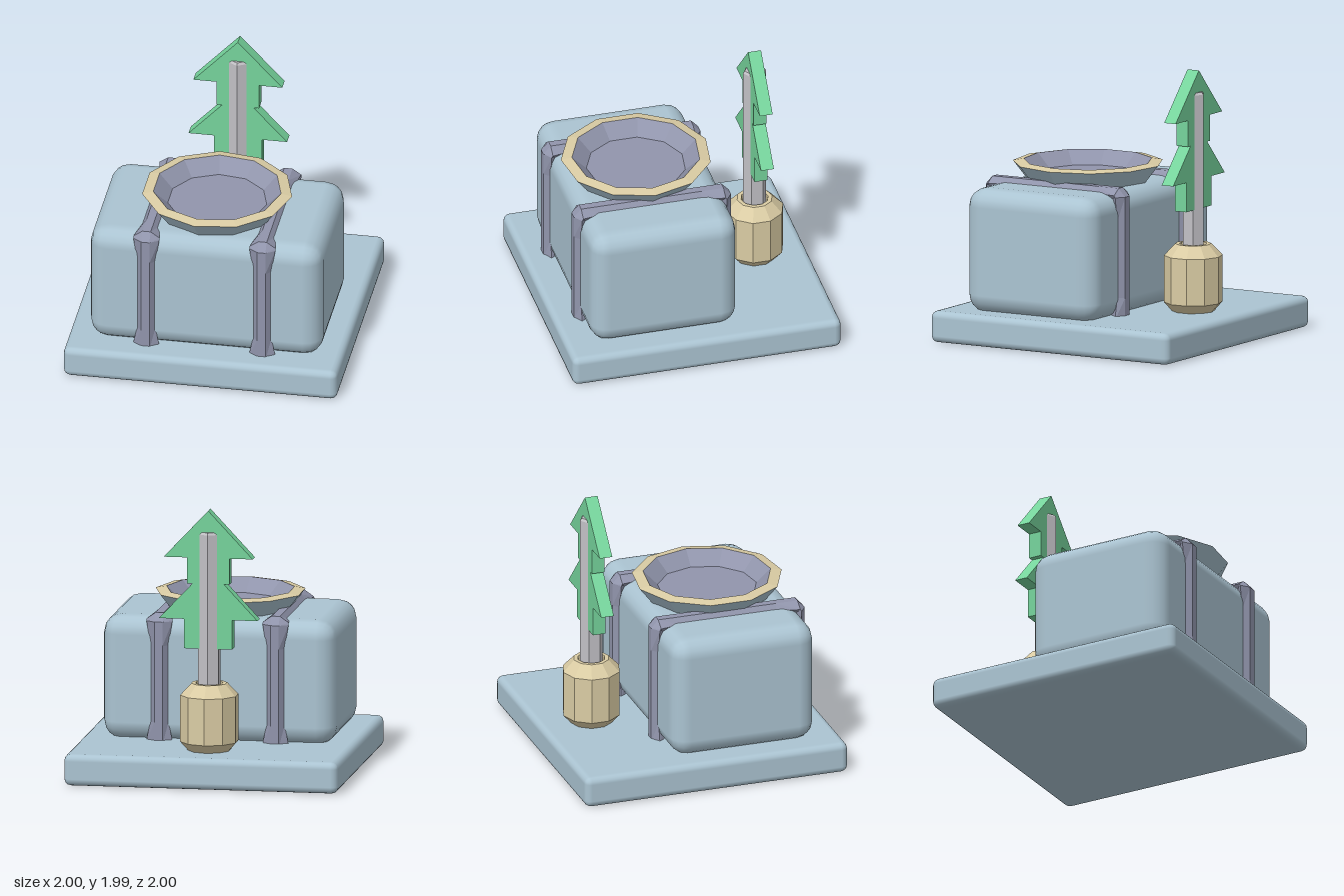
import * as THREE from 'three';
import { RoundedBoxGeometry } from 'three/addons/geometries/RoundedBoxGeometry.js';

const mat = (name, color) => {
  const m = new THREE.MeshStandardMaterial({ color });
  m.name = name;
  return m;
};

// faceted copy of a geometry
function faceted(geometry) {
  const g = geometry.index ? geometry.toNonIndexed() : geometry;
  g.computeVertexNormals();
  return g;
}

const lathe = (profile, sides) =>
  faceted(new THREE.LatheGeometry(profile.map(([r, y]) => new THREE.Vector2(r, y)), sides));

// strap running up the front, over the top and down the back, flared at corners
function strapGeometry() {
  // [z, y, normal z, normal y, half width]
  const half = [
    [0.585, 0.2, 1, 0, 0.1],
    [0.585, 0.36, 1, 0, 0.066],
    [0.585, 0.92, 1, 0, 0.066],
    [0.585, 1.095, 1, 0, 0.095],
    [0.53, 1.155, 0, 1, 0.095],
    [0.36, 1.155, 0, 1, 0.066],
  ];
  const back = half.map(([z, y, nz, ny, w]) => [-z, y, -nz, ny, w]).reverse();
  const stations = [...half, ...back];
  const pos = [], index = [];
  stations.forEach(([z, y, nz, ny, w], i) => {
    const section = [[-0.03, 0], [0.03, 0], [w, 0.045], [w * 0.6, 0.1], [-w * 0.6, 0.1], [-w, 0.045]];
    for (const [x, d] of section) pos.push(x, y - ny * d, z - nz * d);
    if (i === 0) return;
    for (let j = 0; j < 6; j++) {
      const k = (j + 1) % 6, a = (i - 1) * 6, b = i * 6;
      index.push(a + j, a + k, b + k, a + j, b + k, b + j);
    }
  });
  const g = new THREE.BufferGeometry();
  g.setAttribute('position', new THREE.Float32BufferAttribute(pos, 3));
  g.setIndex(index);
  return faceted(g);
}

// two-tier flat tree outline, extruded
function treeGeometry() {
  const right = [
    [0.325, 1.64], [0.155, 1.64], [0.155, 1.45], [0.115, 1.45],
    [0.36, 1.19], [0.175, 1.19], [0.175, 0.975],
  ];
  const left = right.map(([x, y]) => [-x, y]).reverse();
  const shape = new THREE.Shape([[0, 1.985], ...right, ...left].map(([x, y]) => new THREE.Vector2(x, y)));
  const g = new THREE.ExtrudeGeometry(shape, { depth: 0.096, bevelEnabled: false });
  return g.translate(0, 0, -0.048);
}

export function createModel() {
  const model = new THREE.Group();
  model.name = 'model';
  const blue = mat('paleBlue', 0xabc4d2);
  const purple = mat('greyViolet', 0x9195ac);
  const tan = mat('tan', 0xdacca4);
  const grey = mat('lightGrey', 0xc2c1c6);
  const green = mat('green', 0x76d49c);

  const add = (name, geometry, material, x = 0, y = 0, z = 0) => {
    const mesh = new THREE.Mesh(geometry, material);
    mesh.name = name;
    mesh.position.set(x, y, z);
    model.add(mesh);
    return mesh;
  };

  // base slab and main block
  add('base', new RoundedBoxGeometry(2, 0.23, 2, 2, 0.05), blue, 0, 0.115, 0);
  add('block', new RoundedBoxGeometry(1.7, 0.91, 1.09, 2, 0.135), blue, 0, 0.665, 0.268);

  // straps
  const strap = strapGeometry();
  for (const side of [1, -1]) add(side > 0 ? 'leftStrap' : 'rightStrap', strap, purple, 0.424 * side, 0, 0.268);

  // shallow eleven-sided bowl
  const bowlParts = [
    ['bowlOutside', [[0.38, 1.03], [0.545, 1.24]], blue],
    ['bowlRim', [[0.545, 1.24], [0.465, 1.255]], tan],
    ['bowlInside', [[0.465, 1.255], [0.36, 1.155], [0, 1.155]], purple],
  ];
  for (const [name, profile, material] of bowlParts) {
    add(name, lathe(profile, 11), material, 0, 0, 0.268).rotation.y = Math.PI / 2;
  }

  // vase with stem and flat tree
  const z = -0.615;
  add('vase', lathe([
    [0, 0.225], [0.15, 0.225], [0.212, 0.295], [0.212, 0.635],
    [0.13, 0.72], [0.1, 0.72], [0.09, 0.66], [0, 0.66],
  ], 10), tan, 0, 0, z);
  add('stem', lathe([[0.085, 0.6], [0.085, 1.81], [0.073, 1.827], [0, 1.827]], 6), grey, 0, 0, z);
  add('tree', treeGeometry(), green, 0, 0, z);

  return model;
}
